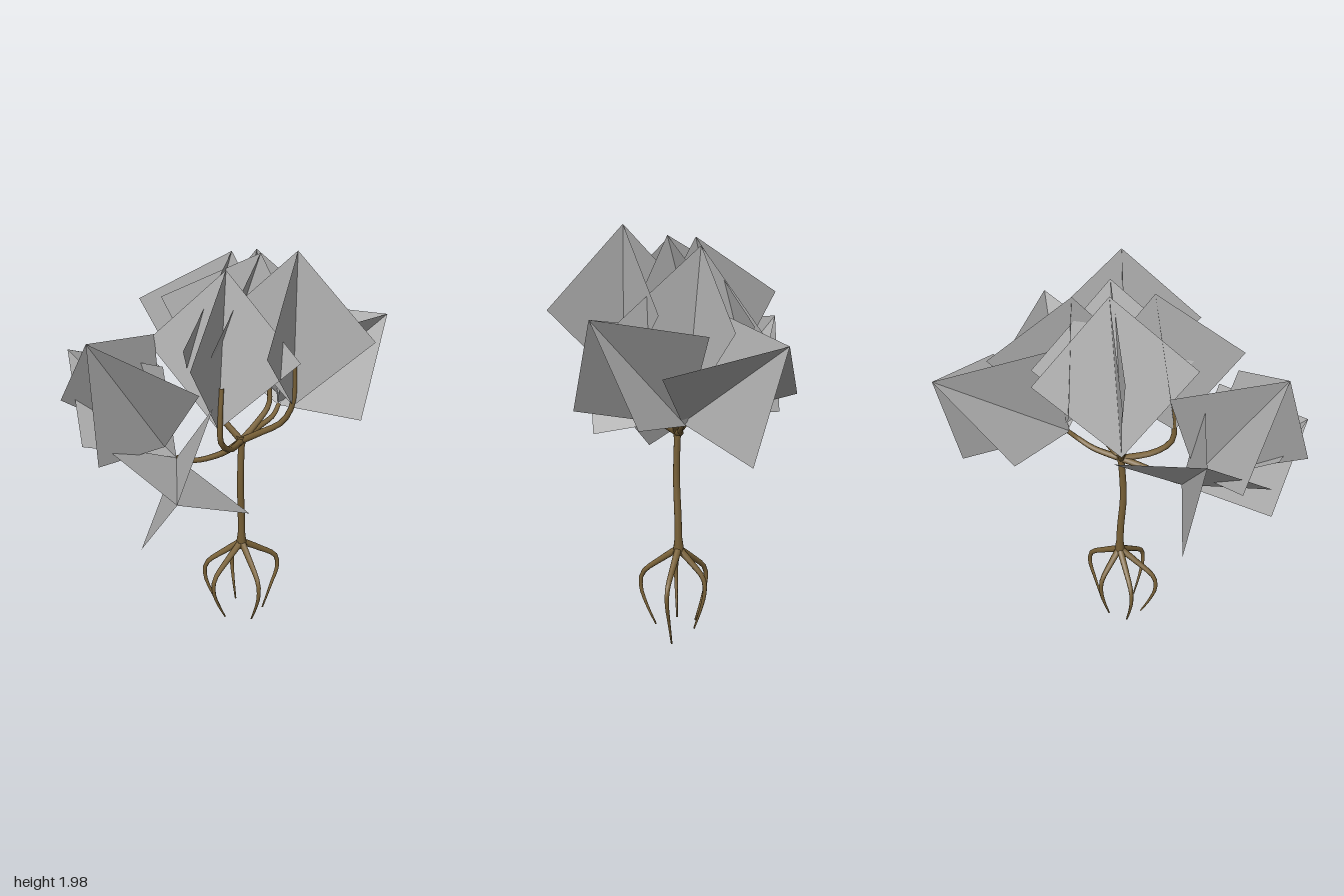
import * as THREE from 'three';

const bark = new THREE.MeshStandardMaterial({ color: 0x7a6238 });
bark.name = 'bark';
const leaf = new THREE.MeshStandardMaterial({ color: 0xb3b3b3, side: THREE.DoubleSide });
leaf.name = 'leafGrey';

const vec = (p) => new THREE.Vector3(...p);

// Tube whose radius runs from r0 to r1 along a smooth path
function taperedTube(name, points, r0, r1, segments = 12, sides = 7) {
  const curve = new THREE.CatmullRomCurve3(points.map(vec));
  const geo = new THREE.TubeGeometry(curve, segments, 1, sides, false);
  const pos = geo.attributes.position;
  const p = new THREE.Vector3();
  for (let i = 0; i < pos.count; i++) {
    const t = Math.floor(i / (sides + 1)) / segments;
    const c = curve.getPointAt(t);
    p.fromBufferAttribute(pos, i).sub(c).multiplyScalar(r0 + (r1 - r0) * t).add(c);
    pos.setXYZ(i, p.x, p.y, p.z);
  }
  const mesh = new THREE.Mesh(geo, bark);
  mesh.name = name;
  return mesh;
}

// Flat square given by its four corners in order
function card(corners) {
  const geo = new THREE.BufferGeometry().setFromPoints(corners);
  geo.setIndex([0, 1, 2, 0, 2, 3]);
  geo.computeVertexNormals();
  const mesh = new THREE.Mesh(geo, leaf);
  mesh.name = 'leafCard';
  return mesh;
}

// Two squares crossing at right angles on the diagonal from base to tip
function leafCluster(base, tip, side) {
  const b = vec(base), t = vec(tip);
  const mid = b.clone().add(t).multiplyScalar(0.5);
  const axis = t.clone().sub(b);
  const half = axis.length() / 2;
  axis.normalize();
  const h = vec(side).sub(mid);
  h.addScaledVector(axis, -h.dot(axis)).normalize();
  const v = axis.clone().cross(h);
  const group = new THREE.Group();
  group.name = 'leafCluster';
  for (const d of [h, v]) {
    const c1 = mid.clone().addScaledVector(d, half);
    const c2 = mid.clone().addScaledVector(d, -half);
    group.add(card([b, c1, t, c2]));
  }
  return group;
}

export function createModel() {
  const tree = new THREE.Group();
  tree.name = 'tree';

  // Trunk with a small flare where the roots begin
  tree.add(taperedTube('trunk', [[0.05, 0.44, -0.04], [0.05, 0.6, -0.035], [0.05, 0.8, -0.02], [0.05, 1.04, -0.03]], 0.019, 0.016));
  tree.add(taperedTube('trunkFlare', [[0.05, 0.43, -0.04], [0.05, 0.53, -0.038]], 0.03, 0.017, 3));
  tree.add(taperedTube('trunkFork', [[0.05, 1.0, -0.03], [0.05, 1.06, -0.03]], 0.016, 0.025, 3));

  // Claw-like roots: x and z of the widest reach from the trunk, and foot height
  const roots = [[-0.18, 0.05, 0.06], [-0.09, -0.1, 0.06], [-0.08, 0.18, 0.06], [0.14, 0.13, 0.06], [0.14, -0.15, 0.02]];
  for (const [dx, dz, foot] of roots) {
    const at = (k, y) => [0.05 + dx * k, y, -0.04 + dz * k];
    tree.add(taperedTube('root', [at(0, 0.46), at(0.45, 0.4), at(0.95, 0.32), at(1, 0.25), at(0.85, 0.16), at(0.6, foot)], 0.018, 0.004, 14));
  }

  // Branches
  const fork = [0.05, 1.03, -0.03];
  const branches = [
    [[0.15, 1.1, -0.01], [0.26, 1.18, 0], [0.31, 1.29, 0], [0.31, 1.5, 0]],
    [[0.05, 1.06, 0.13], [0.04, 1.13, 0.21], [0.04, 1.24, 0.22], [0.04, 1.4, 0.2]],
    [[0, 1.01, 0.08], [-0.1, 1.01, 0.2], [-0.17, 1.04, 0.25]],
    [[0.1, 1.06, -0.16], [0.14, 1.09, -0.23], [0.15, 1.13, -0.28]],
    [[0.1, 1.1, -0.1], [0.14, 1.18, -0.16], [0.13, 1.3, -0.18]],
    [[0, 1.08, -0.03], [-0.08, 1.17, -0.03], [-0.1, 1.25, -0.03], [-0.08, 1.4, -0.04]],
  ];
  for (const path of branches) tree.add(taperedTube('branch', [fork, ...path], 0.017, 0.011));

  // Foliage: base corner, tip corner, one side corner
  const clusters = [
    [[0.15, 1.13, -0.27], [-0.02, 1.54, -0.87], [0.42, 1.4, -0.62]],
    [[0.14, 1.12, -0.29], [0.635, 1.63, -0.37], [0.61, 1.19, -0.1]],
    [[0.31, 1.27, 0], [0.31, 2.0, -0.01], [0.67, 1.63, 0]],
    [[0.03, 1.2, 0.22], [0.03, 1.92, 0.12], [0.4, 1.56, 0.17]],
    [[0.14, 1.18, -0.29], [0.04, 1.91, -0.24], [0.45, 1.6, -0.26]],
    [[-0.2, 1.22, -0.04], [-0.02, 1.94, -0.08], [-0.47, 1.67, -0.05]],
    [[-0.1, 1.23, -0.04], [0.12, 1.95, -0.07], [0.37, 1.48, -0.08]],
    [[-0.2, 1.11, 0.3], [-0.38, 1.72, 0.65], [0.06, 1.5, 0.51]],
    [[-0.17, 1.03, 0.24], [-0.68, 1.51, 0.28], [-0.39, 1.33, -0.1]],
    [[-0.17, 1.03, 0.24], [0.11, 1.18, 0.87], [0.27, 0.94, 0.44]],
  ];
  for (const c of clusters) tree.add(leafCluster(...c));
  return tree;
}
